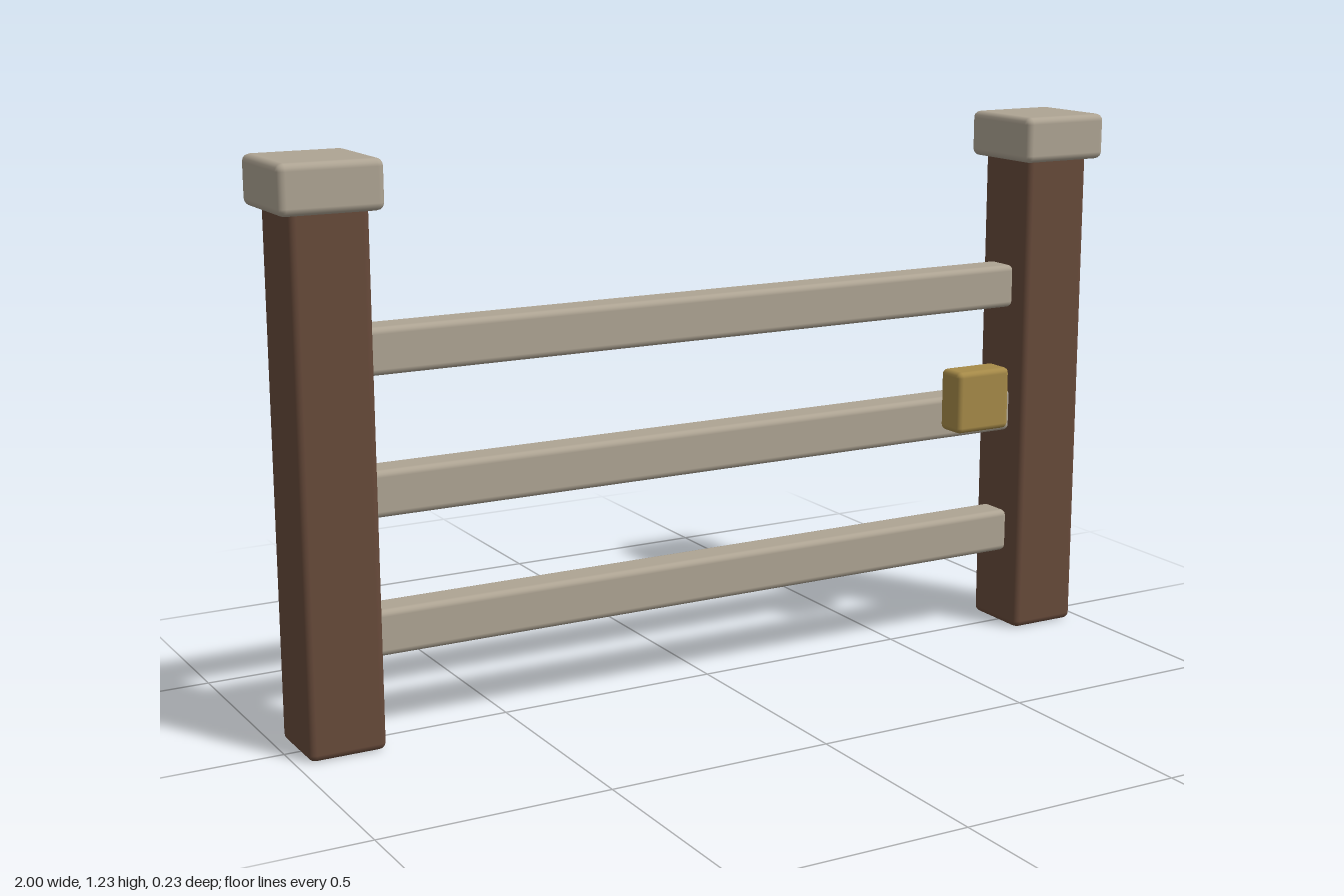
import * as THREE from 'three';
import { RoundedBoxGeometry } from 'three/addons/geometries/RoundedBoxGeometry.js';

const material = (name, color) => {
  const m = new THREE.MeshStandardMaterial({ color });
  m.name = name;
  return m;
};

export function createModel() {
  const wood = material('brown wood', 0x674a3a);
  const stone = material('pale stone', 0xaea493);
  const brass = material('brass', 0xa68a48);

  const fence = new THREE.Group();
  fence.name = 'fence';

  // Box with softened edges, placed by its centre
  const block = (name, mat, size, position, radius) => {
    const mesh = new THREE.Mesh(new RoundedBoxGeometry(...size, 2, radius), mat);
    mesh.name = name;
    mesh.position.set(...position);
    fence.add(mesh);
  };

  // Posts with overhanging caps
  for (const [side, s] of [['left', 1], ['right', -1]]) {
    block(`${side}Post`, wood, [0.168, 1.14, 0.168], [s * 0.888, 0.57, -0.004], 0.015);
    block(`${side}Cap`, stone, [0.22, 0.104, 0.22], [s * 0.89, 1.173, -0.004], 0.016);
  }

  // Three horizontal rails between the posts
  ['lower', 'middle', 'upper'].forEach((level, i) => {
    block(`${level}Rail`, stone, [1.61, 0.1, 0.082], [0, 0.235 + i * 0.296, -0.004], 0.014);
  });

  // Latch block on the front of the middle rail
  block('latch', brass, [0.144, 0.144, 0.074], [0.67, 0.581, 0.077], 0.013);

  return fence;
}
